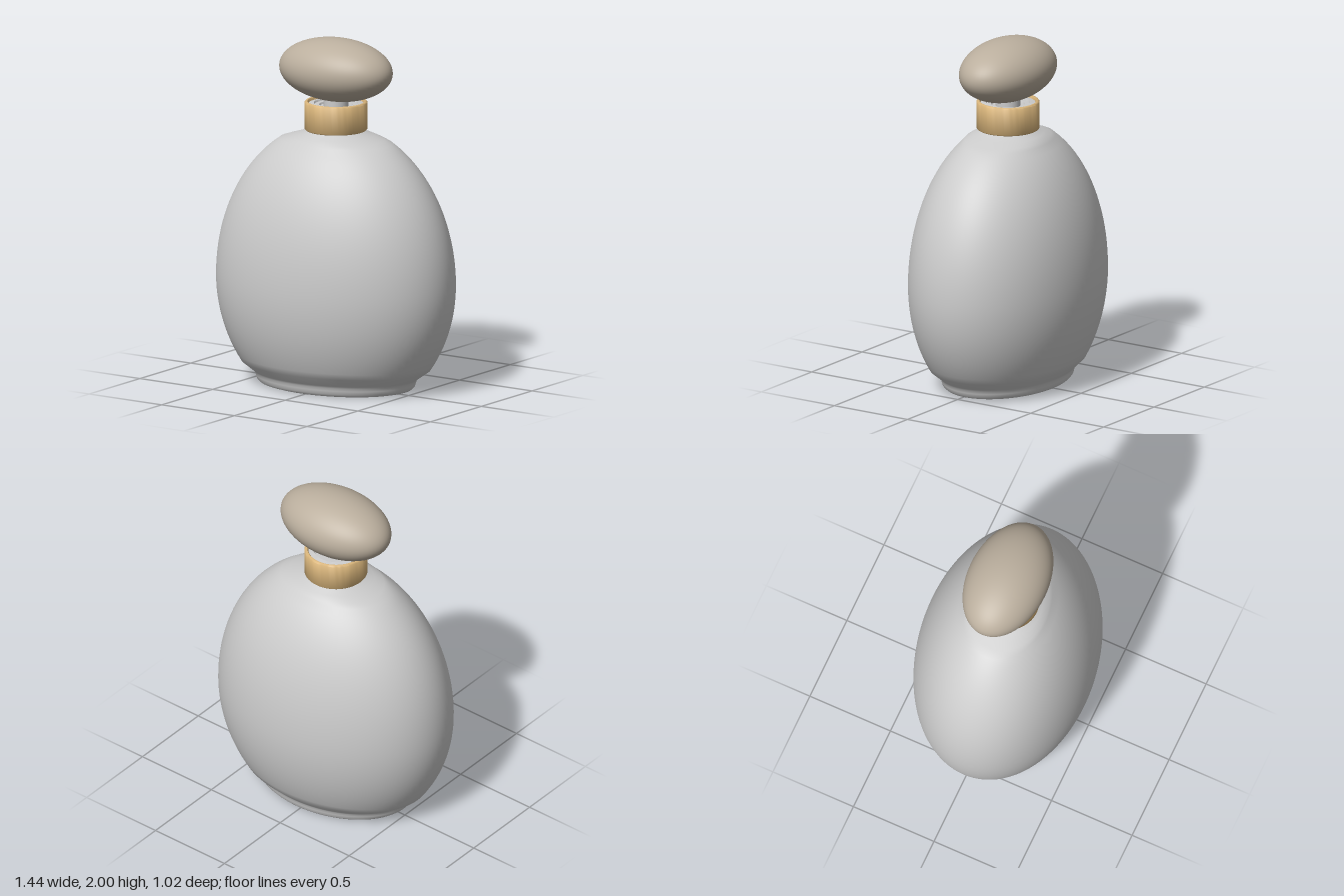
import * as THREE from 'three';
import { mergeVertices, toCreasedNormals } from 'three/addons/utils/BufferGeometryUtils.js';

const DEPTH = 0.702; // depth of the oval flask relative to its width
const TURN = 0.1;    // slight turn of the oval about the vertical axis

function lathe(points, segments) {
  return new THREE.LatheGeometry(points.map(([r, y]) => new THREE.Vector2(r, y)), segments);
}

// Weld the lathe seam so the shading is continuous all round
function weld(geometry) {
  geometry.deleteAttribute('uv');
  geometry.deleteAttribute('normal');
  const welded = mergeVertices(geometry, 1e-5);
  welded.computeVertexNormals();
  return welded;
}

// Flask profile: rounded foot, flare, two elliptical arcs, sloping shoulder
function flaskProfile() {
  const points = [[0, 0], [0.425, 0], [0.435, 0.001], [0.46, 0.007], [0.475, 0.02],
    [0.482, 0.04], [0.487, 0.057], [0.5, 0.07]];
  const steps = 36, low = 0.12, high = 1.41, middle = 0.61;
  for (let i = 0; i <= steps; i++) {
    const y = low + (high - low) * i / steps;
    const t = (y - middle) / (y > middle ? 0.907 : 0.8);
    points.push([0.722 * Math.sqrt(1 - t * t), y]);
  }
  points.push([0.29, 1.427], [0.22, 1.448], [0.15, 1.468], [0.14, 1.48]);
  return points;
}

function flaskGeometry() {
  const geometry = lathe(flaskProfile(), 96);
  const p = geometry.attributes.position;
  for (let i = 0; i < p.count; i++) {
    const x = p.getX(i), z = p.getZ(i), y = p.getY(i);
    // the oval becomes round where it meets the neck
    const round = y > 1.41 ? Math.min(1, (y - 1.41) / 0.06) : 0;
    p.setZ(i, z * THREE.MathUtils.lerp(DEPTH, 1, round));
    p.setX(i, x);
  }
  geometry.rotateY(TURN);
  return weld(geometry);
}

export function createModel() {
  const model = new THREE.Group();
  const glass = new THREE.MeshStandardMaterial({ color: 0xcccccc });
  glass.name = 'pale grey glass';
  const gold = new THREE.MeshStandardMaterial({ color: 0xd9b57b });
  gold.name = 'soft gold';
  const stone = new THREE.MeshStandardMaterial({ color: 0xbbaf9e });
  stone.name = 'warm taupe';

  function add(name, geometry, material) {
    const mesh = new THREE.Mesh(geometry, material);
    mesh.name = name;
    model.add(mesh);
    return mesh;
  }

  add('flask', flaskGeometry(), glass);

  // Neck inside the collar, with a stepped mouth
  add('neck', toCreasedNormals(lathe([
    [0.14, 1.46], [0.155, 1.48], [0.155, 1.625], [0.125, 1.63],
    [0.12, 1.62], [0.095, 1.62], [0.09, 1.61], [0, 1.61],
  ], 64), 0.6), glass);

  // Hollow band with softened rims
  add('collar', toCreasedNormals(lathe([
    [0.14, 1.475], [0.172, 1.475], [0.178, 1.481], [0.178, 1.632],
    [0.172, 1.639], [0.162, 1.639], [0.157, 1.632], [0.157, 1.48], [0.14, 1.475],
  ], 64), 0.9), gold);

  // Oval stopper and its short peg
  const stopper = new THREE.SphereGeometry(1, 64, 40);
  stopper.scale(0.357, 0.179, 0.23);
  add('stopper', stopper, stone).position.y = 1.821;
  const peg = new THREE.CylinderGeometry(0.07, 0.07, 0.06, 32);
  add('stopperPeg', peg, glass).position.y = 1.635;

  return model;
}
